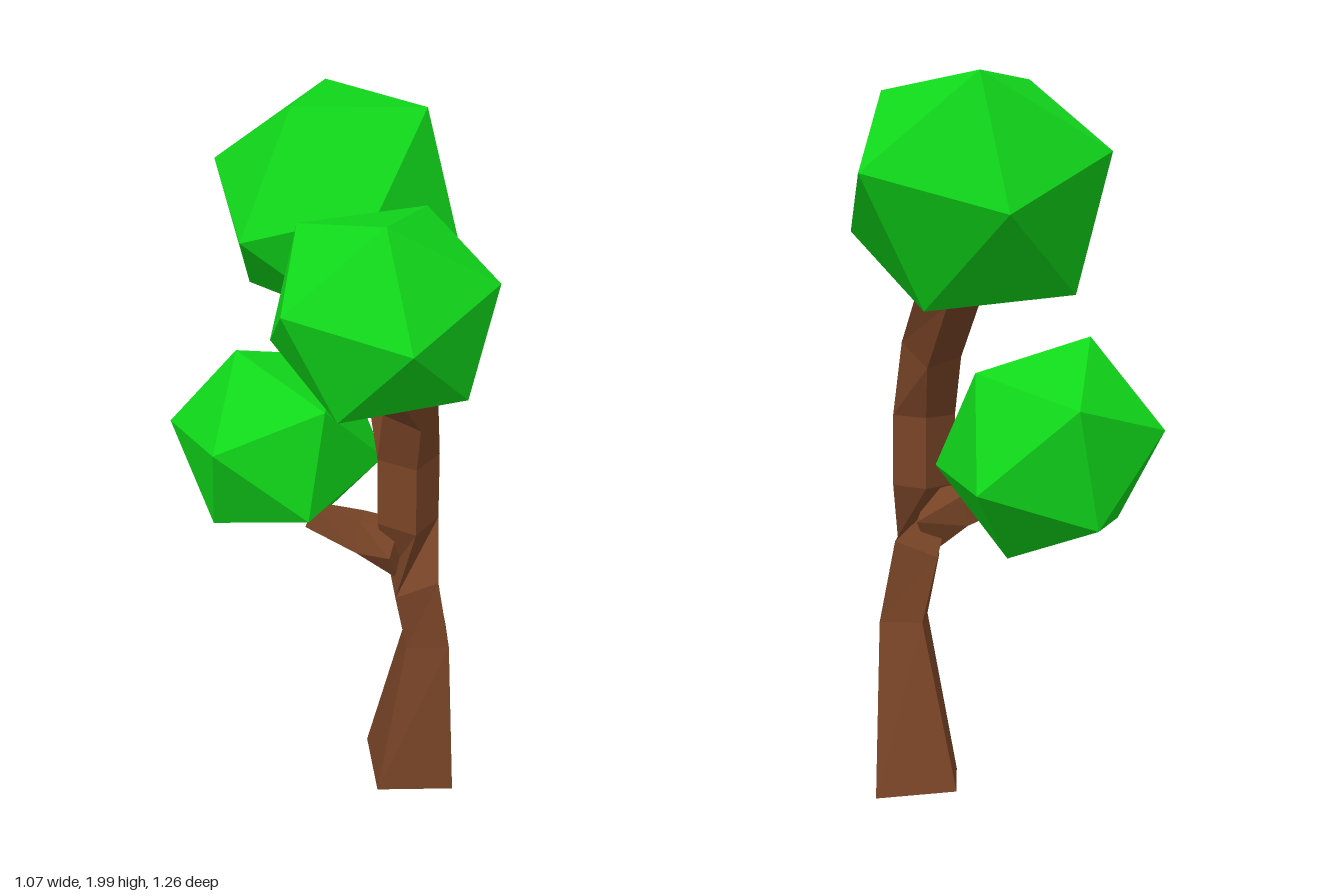
import * as THREE from 'three';
import { ConvexGeometry } from 'three/addons/geometries/ConvexGeometry.js';

const V = (p) => new THREE.Vector3(...p);
const bark = new THREE.MeshStandardMaterial({ color: 0x7a4527, flatShading: true });
const leaf = new THREE.MeshStandardMaterial({ color: 0x10d81a, flatShading: true });

// Four-sided limb: each section is [centre, half diagonal u, half diagonal v]
function limb(name, sections) {
  const rings = sections.map(([c, u, v]) => [
    V(c).add(V(u)), V(c).add(V(v)), V(c).sub(V(u)), V(c).sub(V(v)),
  ]);
  const points = [];
  const quad = (a, b, c, d) => points.push(a, b, c, a, c, d);
  for (let r = 0; r < rings.length - 1; r++) {
    const lo = rings[r], hi = rings[r + 1];
    for (let i = 0; i < 4; i++) {
      const j = (i + 1) % 4;
      quad(lo[i], lo[j], hi[j], hi[i]);
    }
  }
  const first = rings[0], last = rings[rings.length - 1];
  quad(first[3], first[2], first[1], first[0]);
  quad(...last);
  const geometry = new THREE.BufferGeometry().setFromPoints(points);
  geometry.computeVertexNormals();
  const mesh = new THREE.Mesh(geometry, bark);
  mesh.name = name;
  return mesh;
}

// Stretched icosahedron, fixed by its centre and the three corners of one face
function foliage(name, centre, a, b, c) {
  const face = [V(a), V(b), V(c)];
  const k = (Math.sqrt(5) - 1) / 2;
  const half = [...face];
  for (let i = 0; i < 3; i++) {
    const p = face[i], q = face[(i + 1) % 3], r = face[(i + 2) % 3];
    half.push(p.clone().add(q).multiplyScalar(k).sub(r));
  }
  const corners = half.flatMap((p) => [p.clone(), p.clone().negate()]);
  const mesh = new THREE.Mesh(new ConvexGeometry(corners), leaf);
  mesh.position.set(...centre);
  mesh.name = name;
  return mesh;
}

export function createModel() {
  const tree = new THREE.Group();
  tree.name = 'tree';

  // Trunk, twisting an eighth of a turn above the side branch
  const neck = [[0.158, 1.1, -0.04], [0.062, 0, 0.062], [0.062, 0, -0.062]];
  tree.add(limb('trunk', [
    [[0.16, 0.022, -0.075], [-0.014, 0.003, 0.161], [0.161, -0.017, 0.014]],
    [[0.208, 0.51, -0.076], [-0.017, 0, 0.084], [0.085, 0, 0.016]],
    [[0.177, 0.715, -0.05], [-0.01, -0.03, 0.084], [0.087, 0.015, 0.012]],
    [[0.16, 0.9, -0.04], [0.062, 0, 0.062], [0.062, 0, -0.062]],
    neck,
  ]));

  // Two limbs of the fork, both growing from the neck of the trunk
  tree.add(limb('backBranch', [
    neck,
    [[0.09, 1.29, -0.085], [0.05, 0.045, 0.075], [0.065, 0.02, -0.05]],
    [[-0.07, 1.46, -0.19], [0.04, 0.04, 0.06], [0.06, 0.02, -0.055]],
  ]));
  tree.add(limb('frontBranch', [
    neck,
    [[0.195, 1.285, 0.02], [0.06, -0.04, 0.045], [0.055, 0.02, -0.05]],
    [[0.25, 1.44, 0.2], [0.045, -0.025, 0.05], [0.04, 0.03, -0.05]],
  ]));

  // Low side branch
  tree.add(limb('sideBranch', [
    [[0.14, 0.8, -0.035], [0, 0.1, 0], [0, 0, -0.06]],
    [[0.03, 0.845, 0.005], [0.02, 0.05, 0.03], [-0.02, 0.04, -0.05]],
    [[-0.085, 0.895, 0.07], [0.03, 0.03, 0.02], [0, 0.02, -0.04]],
  ]));

  // Leaf clumps
  tree.add(foliage('backFoliage', [-0.219, 1.707, -0.258],
    [-0.144, 0.275, -0.169], [0.218, 0.254, -0.119], [-0.01, 0.291, 0.196]));
  tree.add(foliage('frontFoliage', [0.29, 1.667, 0.317],
    [-0.007, 0.201, -0.208], [-0.204, 0.195, 0.054], [0.074, 0.251, 0.111]));
  tree.add(foliage('sideFoliage', [-0.275, 1.042, -0.03],
    [0.019, 0.087, 0.325], [-0.066, 0.294, 0.093], [0.235, 0.183, 0.103]));

  return tree;
}
